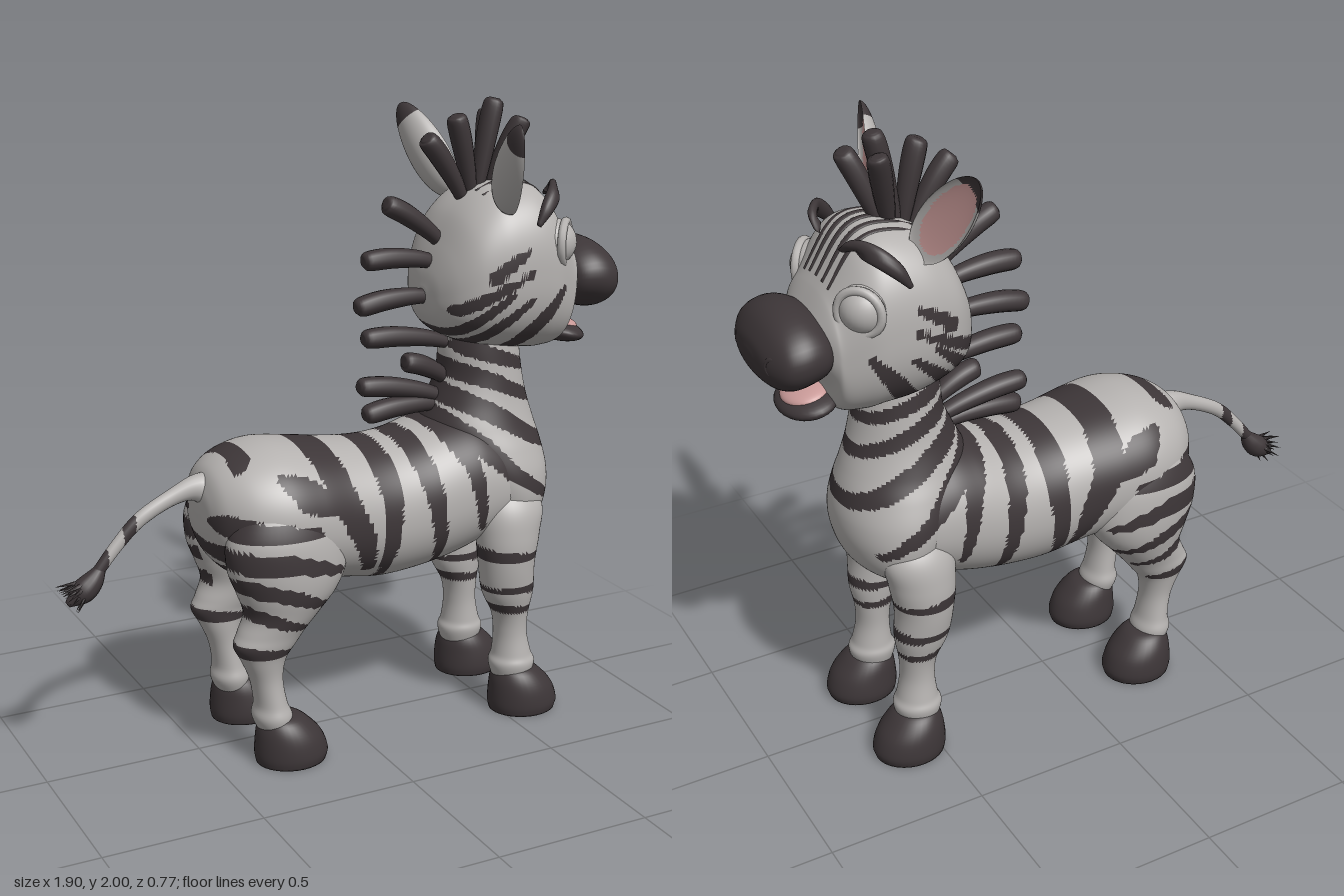
import * as THREE from 'three';

const mat = (name, color) => new THREE.MeshStandardMaterial({ name, color });
const coat = mat('coat grey', 0xb5b2b0);
const dark = mat('stripe dark', 0x3d3638);
const pink = mat('ear pink', 0xc99a98);
const PAINT = [coat, dark, pink];

// Skin over elliptical sections; rows are [x, y, z, in-plane radius, z radius]
function loft(rows, n, m, { axis = null, e = 2 } = {}) {
  const path = new THREE.CatmullRomCurve3(rows.map(r => new THREE.Vector3(r[0], r[1], r[2])), false, 'catmullrom');
  const size = new THREE.CatmullRomCurve3(rows.map(r => new THREE.Vector3(r[3], r[4], 0)), false, 'catmullrom');
  const pos = [], idx = [];
  const f = v => Math.sign(v) * Math.abs(v) ** (2 / e);
  for (let i = 0; i <= n; i++) {
    const c = path.getPoint(i / n), s = size.getPoint(i / n);
    const t = (axis ? axis.clone() : path.getTangent(i / n).setZ(0)).normalize();
    const a = Math.max(s.x, 0.002), b = Math.max(s.y, 0.002);
    for (let j = 0; j < m; j++) {
      const u = f(Math.cos(j / m * 2 * Math.PI)) * a, w = f(Math.sin(j / m * 2 * Math.PI)) * b;
      pos.push(c.x - t.y * u, c.y + t.x * u, c.z + w);
    }
  }
  for (let i = 0; i < n; i++) for (let j = 0; j < m; j++) {
    const k = (j + 1) % m, a = i * m + j, b = i * m + k;
    idx.push(a, b, a + m, b, b + m, a + m);
  }
  const c0 = (n + 1) * m;
  for (const r of [rows[0], rows[rows.length - 1]]) pos.push(r[0], r[1], r[2]);
  for (let j = 0; j < m; j++) {
    const k = (j + 1) % m;
    idx.push(c0, k, j, c0 + 1, n * m + j, n * m + k);
  }
  const g = new THREE.BufferGeometry();
  g.setAttribute('position', new THREE.Float32BufferAttribute(pos, 3));
  g.setIndex(idx);
  g.computeVertexNormals();
  return g;
}
// Section shorthands: along x [x, bottom, top, halfWidth]; along y [y, back, front, inner z, outer z]
const X = new THREE.Vector3(1, 0, 0), Y = new THREE.Vector3(0, 1, 0);
const loftX = (rows, n, m, e) => loft(rows.map(([x, b, t, w]) => [x, (b + t) / 2, 0, (t - b) / 2, w]), n, m, { axis: X, e });
// Rows along y run downwards or upwards; the axis follows them so that faces point outwards
const loftY = (rows, n, m) => loft(rows.map(([y, b, f, i, o]) => [(b + f) / 2, y, (i + o) / 2, (f - b) / 2, (o - i) / 2]), n, m,
  { axis: rows[0][0] < rows[1][0] ? Y : Y.clone().negate() });

// Sort triangles into colour groups by a rule on their centres
function paint(g, rule) {
  const p = g.attributes.position, src = g.index.array, sets = [[], [], []];
  const c = new THREE.Vector3(), v = new THREE.Vector3();
  for (let i = 0; i < src.length; i += 3) {
    c.set(0, 0, 0);
    for (let k = 0; k < 3; k++) c.add(v.fromBufferAttribute(p, src[i + k]));
    sets[+rule(c.divideScalar(3))].push(src[i], src[i + 1], src[i + 2]);
  }
  g.setIndex(sets.flat());
  let start = 0;
  sets.forEach((s, k) => { if (s.length) g.addGroup(start, s.length, k); start += s.length; });
  return g;
}
function mirror(g) {
  const r = g.clone().scale(1, 1, -1), a = r.index.array;
  for (let i = 0; i < a.length; i += 3) [a[i + 1], a[i + 2]] = [a[i + 2], a[i + 1]];
  return r;
}

// Stripes seen from the side: [halfWidth, x, y, x, y, ...], tapering to the last point
const bodyStripes = [
  [0.05, -0.14, 1.02, -0.1, 0.84, -0.03, 0.7, 0.0, 0.6], [0.04, 0.06, 1, 0.07, 0.8, 0.06, 0.55],
  [0.036, 0.18, 1, 0.22, 0.8, 0.26, 0.55], [0.034, 0.28, 1.04, 0.36, 0.88, 0.4, 0.67],
  [0.036, 0.28, 1.03, 0.42, 0.92, 0.5, 0.84, 0.65, 0.74], [0.034, 0.3, 1.1, 0.45, 1.03, 0.6, 0.94, 0.78, 0.85],
  [0.03, 0.33, 1.17, 0.48, 1.12, 0.72, 1.01], [0.027, 0.4, 1.23, 0.52, 1.19, 0.7, 1.12],
];
const rumpStripes = [
  [0.045, -0.21, 0.87, -0.29, 0.92], [0.042, -0.23, 0.87, -0.1, 0.82], [0.02, -0.37, 0.98, -0.41, 0.94],
  [0.035, -0.45, 0.79, -0.35, 0.775, -0.2, 0.765], [0.034, -0.45, 0.69, -0.28, 0.68, -0.12, 0.63],
  [0.027, -0.43, 0.61, -0.3, 0.58, -0.14, 0.51], [0.022, -0.41, 0.52, -0.22, 0.45], [0.022, -0.46, 0.395, -0.28, 0.38],
];
const foreStripes = [[0.02, 0.4, 0.57, 0.64, 0.55], [0.017, 0.64, 0.445, 0.42, 0.44], [0.017, 0.44, 0.375, 0.64, 0.36]];
const headStripes = [
  [0.022, 0.42, 1.475, 0.48, 1.52, 0.53, 1.55], [0.02, 0.33, 1.37, 0.44, 1.43, 0.54, 1.48],
  [0.022, 0.33, 1.28, 0.4, 1.35, 0.48, 1.42], [0.024, 0.38, 1.235, 0.46, 1.32, 0.55, 1.4],
  [0.032, 0.52, 1.22, 0.6, 1.33, 0.67, 1.42],
];
function striped(list, x, y) {
  return list.some(s => {
    const n = (s.length - 3) / 2;
    for (let k = 0; k < n; k++) {
      const [ax, ay, bx, by] = s.slice(1 + 2 * k, 5 + 2 * k), dx = bx - ax, dy = by - ay;
      const t = THREE.MathUtils.clamp(((x - ax) * dx + (y - ay) * dy) / (dx * dx + dy * dy), 0, 1);
      const w = s[0] * (1 - 0.6 * ((k + t) / n) ** 2);
      if (Math.hypot(x - ax - t * dx, y - ay - t * dy) < w) return true;
    }
    return false;
  });
}

export function createModel() {
  const group = new THREE.Group();
  const add = (name, g, material = PAINT) => {
    const mesh = new THREE.Mesh(g, material);
    mesh.name = name;
    group.add(mesh);
  };
  // The model looks along +x, so its own right side is +z
  const pair = (name, g, material) => { add(name + 'Right', g, material); add(name + 'Left', mirror(g), material); };
  const ball = (x, y, z, rx, ry, rz, tilt = 0) =>
    new THREE.SphereGeometry(1, 28, 20).scale(rx, ry, rz).rotateZ(tilt).translate(x, y, z);

  // Barrel and rump
  const skin = p => striped(bodyStripes, p.x, p.y) || striped(rumpStripes, p.x, p.y);
  add('torso', paint(loftX([
    [-0.49, 0.79, 0.83, 0.02], [-0.48, 0.72, 0.88, 0.1], [-0.45, 0.64, 0.935, 0.17], [-0.38, 0.58, 0.975, 0.235],
    [-0.28, 0.55, 0.995, 0.27], [-0.17, 0.54, 0.985, 0.268], [-0.05, 0.525, 0.968, 0.25], [0.08, 0.505, 0.957, 0.242],
    [0.2, 0.51, 0.967, 0.24], [0.32, 0.53, 1.0, 0.243], [0.42, 0.56, 1.01, 0.24], [0.52, 0.6, 0.97, 0.22],
    [0.6, 0.68, 0.9, 0.15], [0.64, 0.75, 0.82, 0.03]], 117, 100, 2.15), skin));
  // Chest rising into the neck
  add('chestAndNeck', paint(loftY([
    [0.565, 0.5, 0.57, -0.05, 0.05], [0.6, 0.45, 0.62, -0.15, 0.15], [0.66, 0.42, 0.685, -0.21, 0.21],
    [0.74, 0.38, 0.715, -0.235, 0.235], [0.82, 0.34, 0.72, -0.235, 0.235], [0.9, 0.31, 0.705, -0.212, 0.212],
    [0.97, 0.295, 0.685, -0.182, 0.182], [1.05, 0.33, 0.66, -0.155, 0.155], [1.13, 0.362, 0.642, -0.14, 0.14],
    [1.22, 0.37, 0.63, -0.13, 0.13], [1.32, 0.39, 0.62, -0.12, 0.12]], 90, 90), skin));

  // Legs and hooves
  pair('hindLeg', paint(loftY([
    [0.9, -0.3, -0.2, 0.12, 0.18], [0.85, -0.39, -0.15, 0.08, 0.24], [0.75, -0.455, -0.09, 0.05, 0.285],
    [0.65, -0.458, -0.07, 0.04, 0.295], [0.57, -0.43, -0.1, 0.05, 0.29], [0.5, -0.408, -0.16, 0.07, 0.272],
    [0.44, -0.43, -0.21, 0.085, 0.255], [0.4, -0.445, -0.24, 0.095, 0.248], [0.35, -0.42, -0.275, 0.1, 0.235],
    [0.28, -0.39, -0.287, 0.105, 0.225], [0.2, -0.376, -0.275, 0.1, 0.232], [0.15, -0.382, -0.258, 0.092, 0.242],
    [0.08, -0.35, -0.27, 0.12, 0.22]], 72, 48), p => (p.z > 0.12 || p.y < 0.42) && skin(p)));
  pair('foreLeg', paint(loftY([
    [0.82, 0.48, 0.56, 0.12, 0.17], [0.72, 0.42, 0.64, 0.08, 0.248], [0.62, 0.415, 0.628, 0.08, 0.268],
    [0.52, 0.425, 0.612, 0.085, 0.265], [0.42, 0.442, 0.615, 0.09, 0.25], [0.34, 0.482, 0.602, 0.1, 0.23],
    [0.27, 0.492, 0.6, 0.105, 0.225], [0.2, 0.486, 0.615, 0.1, 0.235], [0.16, 0.475, 0.628, 0.094, 0.244],
    [0.08, 0.5, 0.6, 0.12, 0.22]], 72, 44), p => striped(foreStripes, p.x, p.y) || skin(p)));
  for (const [name, x] of [['hindHoof', -0.38], ['foreHoof', 0.472]]) {
    pair(name, loftY([[0, 0.005, 0.23, 0.08, 0.28], [0.03, 0, 0.236, 0.075, 0.285], [0.08, 0.003, 0.218, 0.08, 0.28],
      [0.12, 0.01, 0.185, 0.09, 0.265], [0.148, 0.025, 0.15, 0.11, 0.24], [0.158, 0.06, 0.11, 0.15, 0.2]]
      .map(([y, b, f, i, o]) => [y, b + x, f + x, i, o]), 20, 32), dark);
  }

  // Head with cheek stripes
  add('head', paint(loftX([
    [0.288, 1.37, 1.42, 0.03], [0.3, 1.325, 1.48, 0.1], [0.33, 1.28, 1.56, 0.165], [0.38, 1.25, 1.655, 0.212],
    [0.45, 1.225, 1.72, 0.238], [0.52, 1.21, 1.745, 0.248], [0.6, 1.205, 1.748, 0.248], [0.66, 1.2, 1.71, 0.235],
    [0.73, 1.215, 1.605, 0.195], [0.755, 1.3, 1.565, 0.175], [0.79, 1.37, 1.5, 0.12]], 100, 110, 2.5),
  p => striped(headStripes, p.x, p.y)));
  // Thin lines down the forehead, following its profile
  [[0, 0], [0.045, 0.003], [-0.045, 0.003], [0.085, 0.011], [-0.085, 0.011]].forEach(([z, drop], i) => {
    const line = [[0.45, 1.72, 0.005], [0.52, 1.745, 0.01], [0.6, 1.748, 0.012], [0.66, 1.71, 0.011], [0.73, 1.605, 0.005]];
    add('foreheadLine' + (i + 1), loft(line.map(([x, y, w]) => [x, y - drop, z * (1.25 - 0.4 * x), 0.0045, w]), 28, 10), dark);
  });
  add('muzzle', loftX([
    [0.735, 1.37, 1.49, 0.12], [0.77, 1.335, 1.525, 0.178], [0.82, 1.318, 1.545, 0.2], [0.87, 1.31, 1.54, 0.2],
    [0.91, 1.325, 1.515, 0.178], [0.94, 1.36, 1.47, 0.115], [0.95, 1.4, 1.43, 0.03]], 36, 44, 2.1), dark);
  add('lowerJaw', ball(0.785, 1.235, 0, 0.09, 0.036, 0.125, -0.22), dark);
  add('tongue', ball(0.79, 1.258, 0, 0.07, 0.025, 0.085, -0.22), pink);
  pair('nostril', new THREE.TorusGeometry(0.026, 0.009, 8, 20).rotateY(1.05).translate(0.922, 1.42, 0.13), dark);
  pair('eye', ball(0.66, 1.56, 0.17, 0.075, 0.075, 0.075), coat);
  pair('eyelid', new THREE.TorusGeometry(0.066, 0.014, 8, 32).rotateY(0.82).translate(0.688, 1.56, 0.196), coat);
  pair('eyebrow', loft([[0.555, 1.63, 0.25, 0.008, 0.008], [0.59, 1.68, 0.24, 0.022, 0.02], [0.635, 1.72, 0.205, 0.027, 0.025],
    [0.668, 1.728, 0.14, 0.024, 0.025], [0.685, 1.7, 0.08, 0.008, 0.012]], 24, 14), dark);

  // Cupped ears with dark tips
  const ear = paint(new THREE.SphereGeometry(1, 44, 36), p => (p.z > 0.6 && p.y < 0.74 ? 2 : p.y > 0.66 ? 1 : 0));
  const ep = ear.attributes.position;
  for (let i = 0; i < ep.count; i++) {
    const x = ep.getX(i), y = ep.getY(i), z = ep.getZ(i);
    ep.setXYZ(i, x * 0.08 * (1 - 0.12 * y), y * 0.182, z > 0 ? -0.02 * z : 0.062 * z * (1 - 0.3 * y));
  }
  ear.computeVertexNormals();
  const up = new THREE.Vector3(-0.1, 0.29, 0.23).normalize();
  const side = up.clone().cross(new THREE.Vector3(1, 0.1, 0.3)).normalize();
  ear.applyMatrix4(new THREE.Matrix4().makeBasis(side, up, side.clone().cross(up)).setPosition(0.455, 1.81, 0.265));
  pair('ear', ear);

  // Mane locks: [root x, y, tip x, y, tip z]
  [[0.36, 1.55, 0.155, 1.69, 0], [0.35, 1.49, 0.08, 1.515, 0], [0.33, 1.385, 0.055, 1.37, 0], [0.39, 1.23, 0.08, 1.27, 0],
    [0.4, 1.1, 0.22, 1.185, 0.01], [0.38, 1.05, 0.07, 1.115, -0.01], [0.36, 1.03, 0.08, 1.025, 0.01],
    [0.43, 1.69, 0.295, 1.885, 0], [0.46, 1.7, 0.395, 1.95, 0.01], [0.48, 1.7, 0.54, 1.995, 0],
    [0.52, 1.7, 0.61, 1.935, 0.055], [0.5, 1.7, 0.56, 1.95, -0.075]].forEach(([x, y, u, v, z], i) => {
    const at = (t, r) => [x + (u - x) * t, y + (v - y) * t + 0.06 * t * (1 - t), z * t, r, r * 1.1];
    add('maneLock' + (i + 1), loft([at(0, 0.02), at(0.3, 0.028), at(0.65, 0.033), at(0.93, 0.031), at(1, 0.016)], 20, 14), dark);
  });

  // Tail and its brush
  add('tail', paint(loft([[-0.42, 0.84, 0, 0.08, 0.08], [-0.485, 0.87, 0, 0.045, 0.04], [-0.56, 0.855, 0, 0.027, 0.024],
    [-0.67, 0.8, 0, 0.023, 0.02], [-0.75, 0.725, 0, 0.02, 0.018], [-0.83, 0.63, 0, 0.018, 0.018]], 70, 20),
  p => p.x < -0.78 || Math.abs(p.x + 0.71) < 0.02));
  add('tailBrush', loft([[-0.8, 0.665, 0, 0.016, 0.016], [-0.83, 0.625, 0, 0.034, 0.032], [-0.865, 0.595, 0, 0.036, 0.035],
    [-0.91, 0.565, 0, 0.01, 0.01]], 18, 16), dark);
  for (let i = 0; i < 18; i++) {
    const a = i * 2.4, r = 0.065 * Math.sqrt((i + 1) / 18), root = new THREE.Vector3(-0.825, 0.63, 0);
    const tip = new THREE.Vector3(-0.915 - 0.55 * r * Math.cos(a), 0.58 + 0.75 * r * Math.cos(a), r * Math.sin(a));
    const d = tip.sub(root), len = d.length();
    const g = new THREE.ConeGeometry(0.013, len, 7).translate(0, len / 2, 0)
      .applyQuaternion(new THREE.Quaternion().setFromUnitVectors(Y, d.normalize())).translate(root.x, root.y, root.z);
    add('tailHair' + (i + 1), g, dark);
  }
  return group;
}
